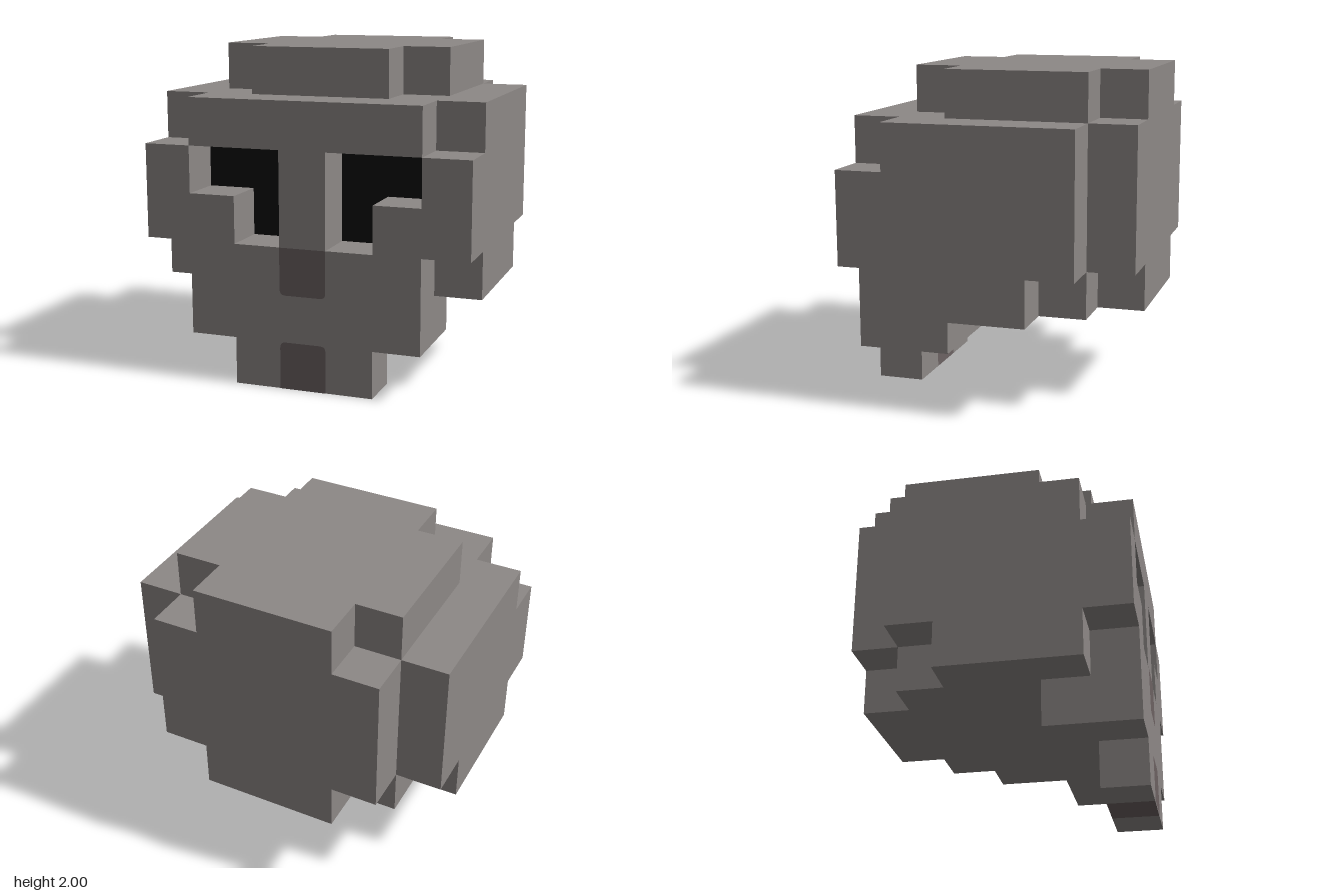
import * as THREE from 'three';
import { mergeGeometries } from 'three/addons/utils/BufferGeometryUtils.js';

const U = 2 / 7; // edge of one block

const bone = new THREE.MeshStandardMaterial({ color: 0x8d8886 });
bone.name = 'bone grey';
const dusk = new THREE.MeshStandardMaterial({ color: 0x6c6262 });
dusk.name = 'dusky brown';
const black = new THREE.MeshStandardMaterial({ color: 0x0b0b0b });
black.name = 'socket black';

// Eye sockets: L-shaped, one block deep
const isSocket = (a, j) => (j === 4 && (a === 1 || a === 2)) || (j === 3 && a === 1);

// Block rule: i = -3..3 across, j = 0..6 up, k = 0 (back) .. 5 (front)
function solid(i, j, k) {
  const a = Math.abs(i);
  if (j < 0 || j > 6 || k < 0 || k > 5) return false;
  if (j === 0) return k === 5 && a <= 1;                                 // chin
  if (j === 1) return k >= 4 && a <= 2;                                  // jaw
  if (j === 6) return k <= 4 && a <= (k === 0 || k === 4 ? 1 : 2);       // crown
  if (k === 5 && isSocket(a, j)) return false;
  if (j === 2) return a <= [1, 2, 3, 3, 3, 2][k];                        // skull base
  if (k === 0 || (k === 5 && j === 5)) return a <= 2;                    // cut corners
  return a <= 3;
}

// The six face directions of a block, with the turn for a +z plane
const SIDES = [
  { d: [0, 0, 1], r: [0, 0] }, { d: [0, 0, -1], r: [0, Math.PI] },
  { d: [1, 0, 0], r: [0, Math.PI / 2] }, { d: [-1, 0, 0], r: [0, -Math.PI / 2] },
  { d: [0, 1, 0], r: [-Math.PI / 2, 0] }, { d: [0, -1, 0], r: [Math.PI / 2, 0] },
];

function blockFace(i, j, k, { d, r }) {
  return new THREE.PlaneGeometry(U, U).rotateX(r[0]).rotateY(r[1]).translate(
    (i + d[0] / 2) * U, (j + 0.5 + d[1] / 2) * U, (k - 2.5 + d[2] / 2) * U);
}

// Collect the exposed faces that pass a test into one mesh
function shell(name, material, test) {
  const faces = [];
  for (let i = -3; i <= 3; i++) for (let j = 0; j <= 6; j++) for (let k = 0; k <= 5; k++) {
    if (!solid(i, j, k)) continue;
    for (const side of SIDES) {
      const d = side.d;
      if (!solid(i + d[0], j + d[1], k + d[2]) && test(i, j, k, d)) {
        faces.push(blockFace(i, j, k, side));
      }
    }
  }
  const mesh = new THREE.Mesh(mergeGeometries(faces), material);
  mesh.name = name;
  return mesh;
}

// Square patch on the face with two rounded corners, at the top or bottom
function patch(name, y, roundTop) {
  const h = U / 2, r = 0.035, s = new THREE.Shape();
  s.moveTo(-h, -h).lineTo(h, -h).lineTo(h, h - r);
  s.quadraticCurveTo(h, h, h - r, h).lineTo(r - h, h);
  s.quadraticCurveTo(-h, h, -h, h - r).closePath();
  const geo = new THREE.ShapeGeometry(s, 4);
  if (!roundTop) geo.rotateZ(Math.PI);
  const mesh = new THREE.Mesh(geo, dusk);
  mesh.position.set(0, y, 3 * U + 0.003);
  mesh.name = name;
  return mesh;
}

export function createModel() {
  const group = new THREE.Group();
  group.name = 'blockSkull';

  const eyeBack = (i, j, k, d) => k === 4 && d[2] === 1 && isSocket(Math.abs(i), j);
  const mouthFace = (i, j, k, d) => j === 0 && i === 0 && d[2] !== 1;

  group.add(
    shell('crown', bone, (i, j) => j === 6),
    shell('cranium', bone, (i, j, k, d) => j >= 2 && j <= 5 && !eyeBack(i, j, k, d)),
    shell('jaw', bone, (i, j) => j === 1),
    shell('chin', bone, (i, j, k, d) => j === 0 && !mouthFace(i, j, k, d)),
    shell('leftEye', black, (i, j, k, d) => i > 0 && eyeBack(i, j, k, d)),
    shell('rightEye', black, (i, j, k, d) => i < 0 && eyeBack(i, j, k, d)),
    shell('mouthUnderside', dusk, mouthFace),
    patch('nose', 2.5 * U, false),
    patch('mouth', 0.5 * U, true),
  );
  return group;
}
